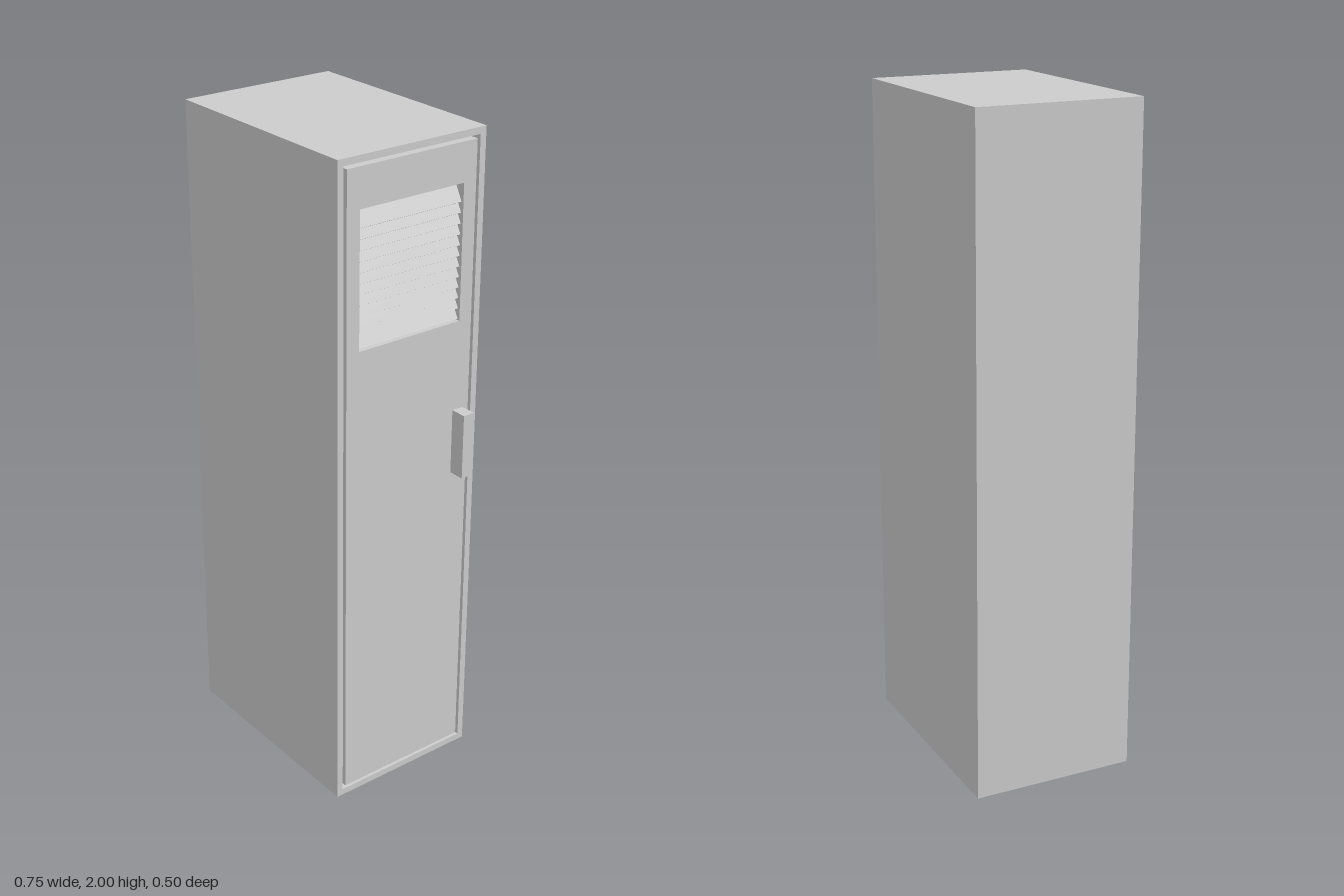
import * as THREE from 'three';

const material = new THREE.MeshStandardMaterial({ color: 0xcccccc, flatShading: true });

function addMesh(parent, name, geometry, x, y, z) {
  const mesh = new THREE.Mesh(geometry, material);
  mesh.name = name;
  mesh.position.set(x, y, z);
  parent.add(mesh);
  return mesh;
}

// Rectangular outline in (z, y), centred on z
function rectangle(path, left, right, bottom, top) {
  path.moveTo(left, bottom);
  path.lineTo(right, bottom);
  path.lineTo(right, top);
  path.lineTo(left, top);
  path.closePath();
  return path;
}

// Plate with a window, extruded along +x from x = 0
function framedPlate(outer, inner, depth) {
  const shape = rectangle(new THREE.Shape(), ...outer);
  shape.holes.push(rectangle(new THREE.Path(), ...inner));
  return new THREE.ExtrudeGeometry(shape, { depth, bevelEnabled: false }).rotateY(Math.PI / 2);
}

export function createModel() {
  const locker = new THREE.Group();
  locker.name = 'locker';

  // Hollow cabinet, open towards +x, and its rear panel
  const shell = framedPlate([-0.25, 0.25, 0, 2], [-0.23, 0.23, 0.02, 1.98], 0.68);
  addMesh(locker, 'cabinetShell', shell, -0.355, 0, 0);
  addMesh(locker, 'cabinetBack', new THREE.BoxGeometry(0.02, 2, 0.5), -0.365, 1, 0);

  // Flush door with a thin gap around it and a vent opening
  const door = new THREE.Group();
  door.name = 'door';
  locker.add(door);
  const panel = framedPlate([-0.22, 0.22, 0.03, 1.97], [-0.177, 0.177, 1.455, 1.855], 0.04);
  addMesh(door, 'doorPanel', panel, 0.285, 0, 0);

  // Overlapping louvre slats, lower edges tilted outwards
  const slat = new THREE.BoxGeometry(0.005, 0.062, 0.354);
  for (let i = 0; i < 12; i++) {
    addMesh(door, 'ventSlat', slat, 0.3, 1.826 - i * 0.031, 0).rotation.z = 0.5;
  }

  // Handle block
  addMesh(door, 'handle', new THREE.BoxGeometry(0.05, 0.2, 0.037), 0.35, 1.083, -0.181);

  return locker;
}
